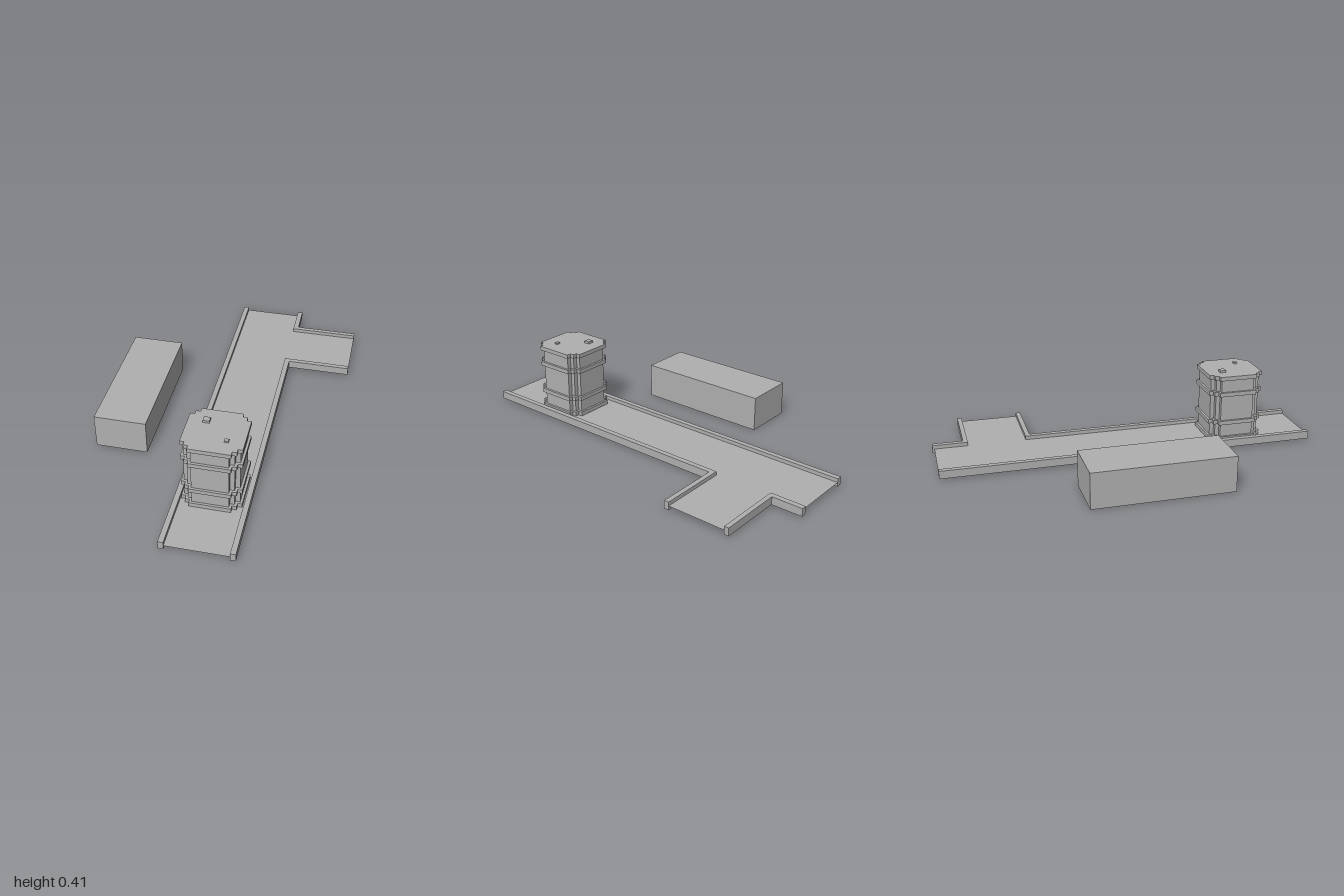
import * as THREE from 'three';

export function createModel() {
  const model = new THREE.Group();
  const grey = new THREE.MeshStandardMaterial({ color: 0xb0b0b0 });
  grey.name = 'plainGrey';
  const thinGrey = grey.clone(); // same colour, seen from both sides
  thinGrey.name = 'plainGreyThin';
  thinGrey.side = THREE.DoubleSide;

  // Box given by its limits on each axis
  function block(name, [x0, x1], [y0, y1], [z0, z1], parent = model) {
    const mesh = new THREE.Mesh(new THREE.BoxGeometry(x1 - x0, y1 - y0, z1 - z0), grey);
    mesh.position.set((x0 + x1) / 2, (y0 + y1) / 2, (z0 + z1) / 2);
    mesh.name = name;
    parent.add(mesh);
  }

  // Separate crate beside the walkway
  block('crate', [-0.6, -0.33], [0, 0.186], [-0.34, 0.383]);

  // Paper-thin floor: long walkway with a side branch
  const floorShape = new THREE.Shape([
    [-0.085, -1], [0.245, -1], [0.245, 0.49], [0.597, 0.49],
    [0.597, 0.83], [0.245, 0.83], [0.245, 0.99], [-0.085, 0.99],
  ].map(([x, y]) => new THREE.Vector2(x, y)));
  const floor = new THREE.Mesh(new THREE.ShapeGeometry(floorShape), thinGrey);
  floor.rotation.x = -Math.PI / 2;
  floor.position.y = 0.03;
  floor.name = 'floor';
  model.add(floor);

  // Kerbs along the walkway and the branch
  const kerbs = new THREE.Group();
  kerbs.name = 'kerbs';
  model.add(kerbs);
  const kerbY = [0.008, 0.05];
  block('longKerb', [-0.1, -0.073], kerbY, [-0.99, 1], kerbs);
  block('frontKerb', [0.234, 0.261], kerbY, [-0.48, 1], kerbs);
  block('backKerb', [0.234, 0.261], kerbY, [-1, -0.838], kerbs);
  block('branchFrontKerb', [0.234, 0.597], kerbY, [-0.505, -0.48], kerbs);
  block('branchBackKerb', [0.234, 0.597], kerbY, [-0.838, -0.814], kerbs);

  // Barrel with stepped corners
  const barrel = new THREE.Group();
  barrel.name = 'barrel';
  barrel.position.set(0.08, 0, 0.592);
  model.add(barrel);

  // Square slab whose corners are cut back in two steps
  function steppedSlab(name, half, y0, y1) {
    const step = 0.0225;
    const corner = [
      [half, half - 2 * step], [half - step, half - 2 * step],
      [half - step, half - step], [half - 2 * step, half - step], [half - 2 * step, half],
    ];
    const points = [];
    for (let q = 0; q < 4; q++) {
      for (let [x, y] of corner) {
        for (let i = 0; i < q; i++) [x, y] = [-y, x];
        points.push(new THREE.Vector2(x, y));
      }
    }
    const geometry = new THREE.ExtrudeGeometry(new THREE.Shape(points), { depth: y1 - y0, bevelEnabled: false });
    geometry.rotateX(-Math.PI / 2);
    const mesh = new THREE.Mesh(geometry, grey);
    mesh.position.y = y0;
    mesh.name = name;
    barrel.add(mesh);
  }

  steppedSlab('barrelBody', 0.135, 0.045, 0.385);
  for (const y of [0.034, 0.124, 0.283, 0.372]) steppedSlab('barrelHoop', 0.147, y, y + 0.022);

  // Two bungs on the lid
  block('largeBung', [-0.074, -0.042], [0.39, 0.406], [-0.077, -0.046], barrel);
  block('smallBung', [0.052, 0.073], [0.39, 0.402], [0.05, 0.068], barrel);

  return model;
}
